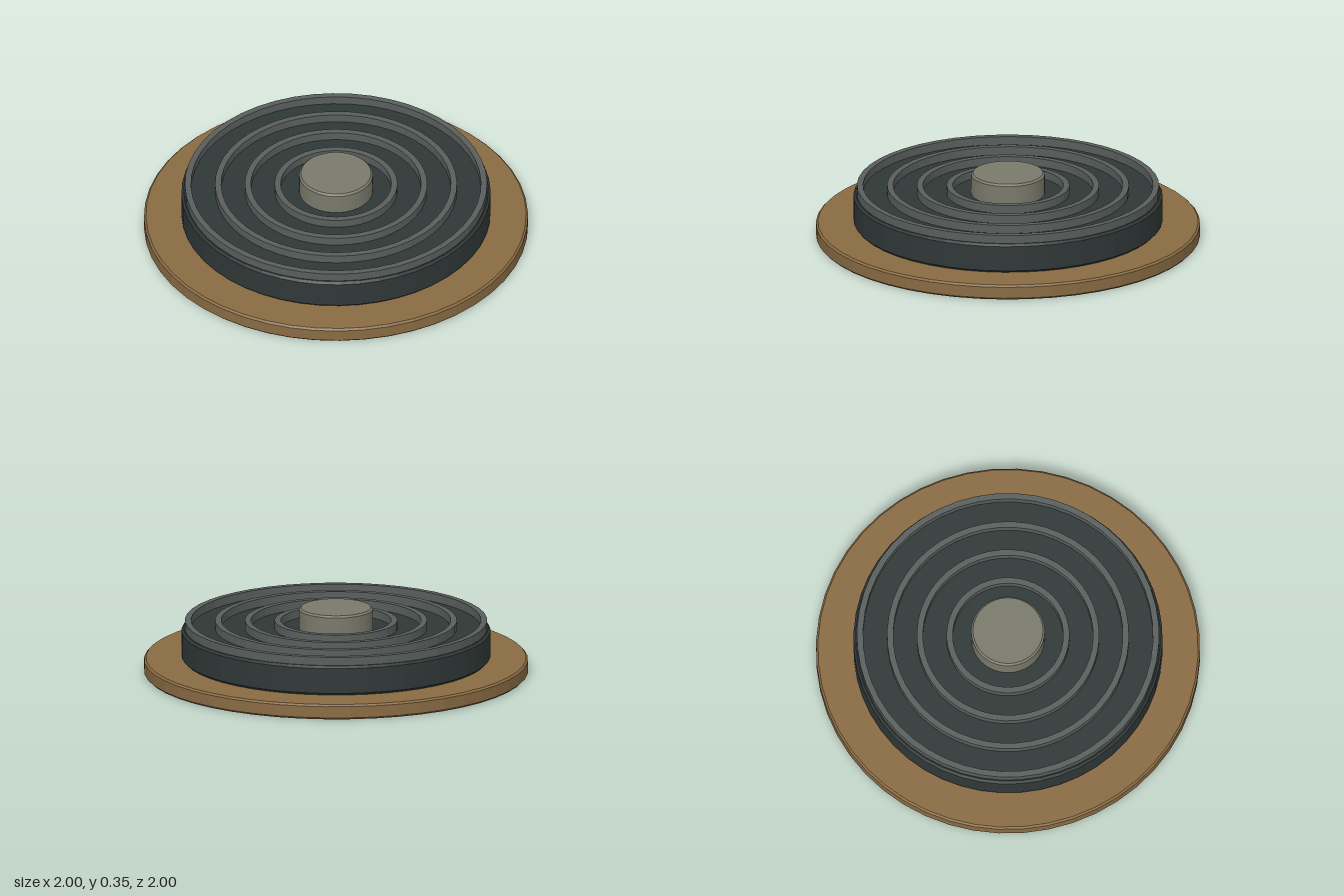
import * as THREE from 'three';

const SIDES = 48;
const material = (name, color) => {
  const m = new THREE.MeshStandardMaterial({ color });
  m.name = name;
  return m;
};

// Faceted solid turned around the y axis from a profile of [radius, height] pairs
function turned(name, profile, mat) {
  const points = profile.map(([r, y]) => new THREE.Vector2(r, y));
  const geometry = new THREE.LatheGeometry(points, SIDES).toNonIndexed();
  geometry.computeVertexNormals();
  const mesh = new THREE.Mesh(geometry, mat);
  mesh.name = name;
  return mesh;
}

// Disc with small chamfers on both rims
const disc = (name, r, y0, y1, c, mat) => turned(name, [
  [0, y0], [r - c, y0], [r, y0 + c], [r, y1 - c], [r - c, y1], [0, y1],
], mat);

// Square-edged ring
const ring = (name, ri, ro, y0, y1, mat) => turned(name, [
  [ri, y0], [ro, y0], [ro, y1], [ri, y1], [ri, y0],
], mat);

export function createModel() {
  const wood = material('brown wood', 0x896b43);
  const iron = material('dark iron', 0x303837);
  const steel = material('grey ridge', 0x595f5d);
  const stone = material('warm grey', 0x79796b);

  const model = new THREE.Group();
  model.name = 'ringedPlate';

  // Wide base board and the dark plate on it
  model.add(disc('baseBoard', 1, 0, 0.08, 0.01, wood));
  model.add(disc('plate', 0.805, 0.08, 0.237, 0.012, iron));

  // Concentric raised ridges
  const ridges = new THREE.Group();
  ridges.name = 'ridges';
  [0.32, 0.475, 0.63, 0.787].forEach((r, i) => {
    ridges.add(ring(`ridge${i + 1}`, r - 0.032, r, 0.225, 0.281, steel));
  });
  model.add(ridges);

  // Centre knob
  model.add(disc('centreKnob', 0.192, 0.225, 0.35, 0.01, stone));
  return model;
}
